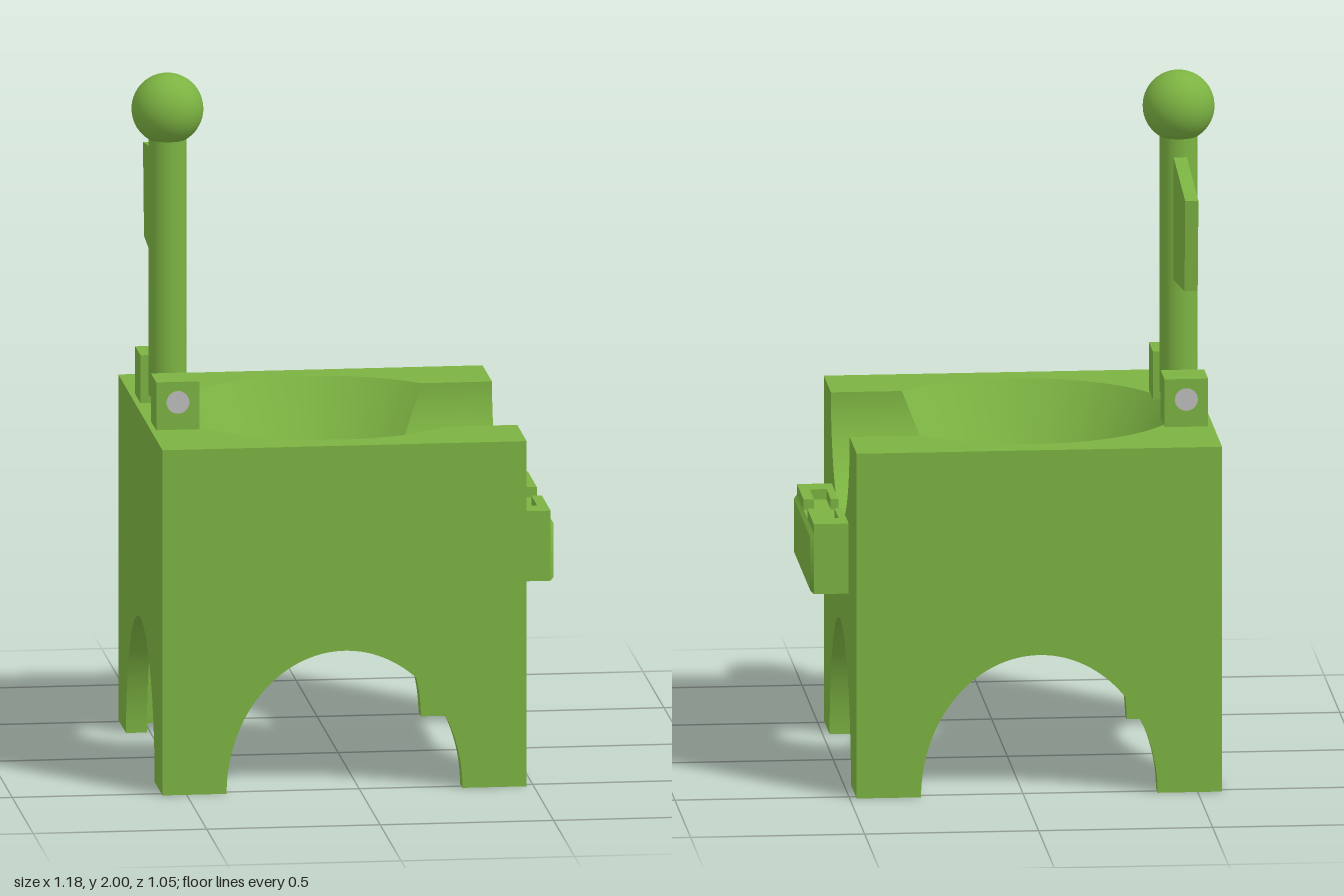
import * as THREE from 'three';

const CX = -0.045, TOP = 1.01, CEIL = 0.7, WALL = 0.06, HALF = 0.525;
const RIM = 0.44, HOLE = 0.295, NOTCH = 0.3;

// Radius of the funnel at height y: straight throat, then a cone
const funnelR = (y) => HOLE + (RIM - HOLE) * Math.max(0, (y - 0.76) / (TOP - 0.76));

export function createModel() {
  const green = new THREE.MeshStandardMaterial({ color: 0x7cb342, side: THREE.DoubleSide });
  green.name = 'leafGreen';
  const grey = new THREE.MeshStandardMaterial({ color: 0xbdbdbd });
  grey.name = 'pinGrey';

  const model = new THREE.Group();
  const add = (name, geo, x = 0, y = 0, z = 0, mat = green, parent = model) => {
    const m = new THREE.Mesh(geo, mat);
    m.name = name;
    m.position.set(x, y, z);
    parent.add(m);
    return m;
  };
  const extrude = (shape, depth) =>
    new THREE.ExtrudeGeometry(shape, { depth, bevelEnabled: false, curveSegments: 64 });

  // Grid surface from a function of (u, v)
  const surface = (nu, nv, f) => {
    const pos = [], idx = [];
    for (let i = 0; i <= nu; i++)
      for (let j = 0; j <= nv; j++) pos.push(...f(i / nu, j / nv));
    for (let i = 0; i < nu; i++)
      for (let j = 0; j < nv; j++) {
        const a = i * (nv + 1) + j, b = a + nv + 1;
        idx.push(a, a + 1, b, b, a + 1, b + 1);
      }
    const g = new THREE.BufferGeometry();
    g.setAttribute('position', new THREE.Float32BufferAttribute(pos, 3));
    g.setIndex(idx);
    g.computeVertexNormals();
    return g;
  };

  // Walls with an elliptical arch, one with a half-round notch on top
  const wallShape = (half, notched) => {
    const s = new THREE.Shape();
    s.moveTo(-half, 0);
    s.lineTo(-0.34, 0);
    s.absellipse(0, 0, 0.34, 0.41, Math.PI, 0, true);
    s.lineTo(half, 0);
    s.lineTo(half, TOP);
    if (notched) {
      s.lineTo(NOTCH, TOP);
      s.absarc(0, TOP, NOTCH, 0, -Math.PI, true);
    }
    s.lineTo(-half, TOP);
    s.closePath();
    return s;
  };
  add('frontWall', extrude(wallShape(HALF), WALL), CX, 0, HALF - WALL);
  add('backWall', extrude(wallShape(HALF), WALL), CX, 0, -HALF);
  const inner = HALF - WALL;
  add('leftWall', extrude(wallShape(inner, true), WALL).rotateY(Math.PI / 2), CX + inner);
  add('rightWall', extrude(wallShape(inner), WALL).rotateY(Math.PI / 2), CX - HALF);

  // Top face, open around the funnel and towards the notch
  const a = Math.asin(NOTCH / RIM);
  const top = new THREE.Shape();
  top.moveTo(-inner, -inner);
  top.lineTo(inner, -inner);
  top.lineTo(inner, -NOTCH);
  top.absarc(0, 0, RIM, -a, a, true);
  top.lineTo(inner, NOTCH);
  top.lineTo(inner, inner);
  top.lineTo(-inner, inner);
  top.closePath();
  add('topFace', new THREE.ShapeGeometry(top, 64).rotateX(-Math.PI / 2), CX, TOP);

  // Underside of the funnel block
  const under = new THREE.Shape();
  under.moveTo(-inner, -inner);
  under.lineTo(inner, -inner);
  under.lineTo(inner, inner);
  under.lineTo(-inner, inner);
  under.closePath();
  under.holes.push(new THREE.Path().absarc(0, 0, HOLE, 0, Math.PI * 2, true));
  add('ceiling', new THREE.ShapeGeometry(under, 64).rotateX(Math.PI / 2), CX, CEIL);

  // Funnel, cut off where it meets the notch; throat below it
  const cutHeight = (t) => {
    if (Math.cos(t) < 0 || Math.abs(Math.sin(t)) * RIM >= NOTCH) return TOP;
    let y = CEIL;
    while (y < TOP && Math.hypot(funnelR(y) * Math.sin(t), TOP - y) > NOTCH) y += 0.002;
    return Math.min(y, TOP);
  };
  const ring = (lo, hi) => surface(192, 4, (u, v) => {
    const t = u * Math.PI * 2, cut = cutHeight(t);
    const y0 = Math.min(lo, cut), y = y0 + (Math.min(hi, cut) - y0) * v, r = funnelR(y);
    return [r * Math.cos(t), y, r * Math.sin(t)];
  });
  add('funnel', ring(0.76, TOP), CX);
  add('throat', ring(CEIL, 0.76), CX);

  // Half-round channel from the funnel to the notched wall
  add('channel', surface(64, 4, (u, v) => {
    const p = (u - 0.5) * Math.PI, y = TOP - NOTCH * Math.cos(p), z = NOTCH * Math.sin(p);
    const x0 = Math.sqrt(Math.max(0, funnelR(y) ** 2 - z * z));
    return [x0 + (inner - x0) * v, y, z];
  }), CX);

  // Sloping plate below the funnel
  const ramp = add('ramp', new THREE.BoxGeometry(0.385, 0.012, 0.2), -0.013, 0.64, 0);
  ramp.rotation.z = -Math.PI / 4;

  // Latch housing in layers; the middle layer holds a wider slot
  const latch = new THREE.Group();
  latch.name = 'latch';
  model.add(latch);
  for (const [x, w, slot] of [[0.48, 0.022, 0.06], [0.502, 0.048, 0.195], [0.55, 0.03, 0.06]]) {
    const s = new THREE.Shape();
    [[-0.27, 0.545], [0.27, 0.545], [0.27, 0.75], [slot, 0.75], [slot, 0.72],
      [-slot, 0.72], [-slot, 0.75], [-0.27, 0.75]]
      .forEach(([z, y], i) => (i ? s.lineTo(z, y) : s.moveTo(z, y)));
    add('latchLayer', extrude(s, w).rotateY(Math.PI / 2), x, 0, 0, green, latch);
  }
  // Chamfered outer face of the latch
  const lip = new THREE.CylinderGeometry(Math.SQRT1_2, Math.SQRT1_2, 1, 4).rotateY(Math.PI / 4).rotateZ(-Math.PI / 2);
  const lp = lip.attributes.position;
  for (let i = 0; i < lp.count; i++) {
    const k = lp.getX(i) > 0 ? 0.01 : 0;
    lp.setXYZ(i, k, Math.sign(lp.getY(i)) * (0.0875 - k), Math.sign(lp.getZ(i)) * (0.27 - k));
  }
  lip.computeVertexNormals();
  add('latchLip', lip, 0.58, 0.6325, 0, green, latch);

  // Hinge: two blocks and a pin
  const PX = -0.492;
  for (const side of [-1, 1])
    add('hingeBlock', new THREE.BoxGeometry(0.125, 0.14, 0.125), PX, 1.08, side * 0.1875);
  add('hingePin', new THREE.CylinderGeometry(0.033, 0.033, 0.502, 32).rotateX(Math.PI / 2), PX, 1.09, 0, grey);

  // Flag pole with ball and flag
  add('pole', new THREE.CylinderGeometry(0.054, 0.054, 0.79, 40), PX, 1.455, 0);
  add('poleBall', new THREE.SphereGeometry(0.103, 40, 28), PX, 1.897, 0);
  const flag = new THREE.Shape();
  [[0.04, 1.396], [0.4, 1.44], [0.425, 1.71], [0.04, 1.758]]
    .forEach(([d, y], i) => (i ? flag.lineTo(d, y) : flag.moveTo(d, y)));
  add('flag', extrude(flag, 0.038).rotateY(Math.PI / 2), PX - 0.019, 0, 0);

  return model;
}
